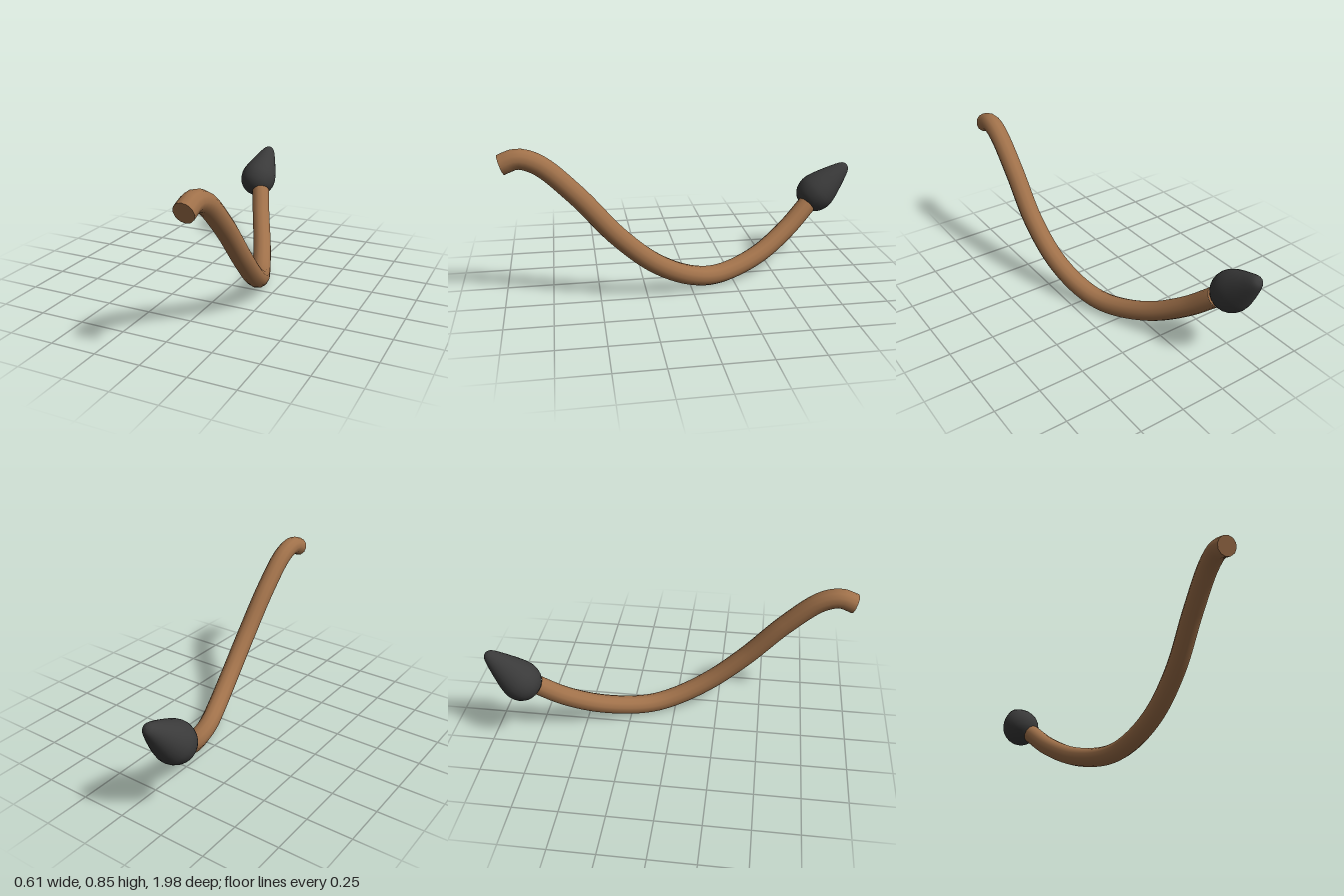
import * as THREE from 'three';

const RADIUS = 0.054;

export function createModel() {
  const model = new THREE.Group();
  model.name = 'tail';
  const brown = new THREE.MeshStandardMaterial({ color: 0xa0714a });
  const black = new THREE.MeshStandardMaterial({ color: 0x3a3a3a });

  // Curved stem, from its cut root at the front to the tuft at the back
  const path = new THREE.CatmullRomCurve3([
    [0.235, 0.77, 0.97], [0.236, 0.797, 0.89], [0.24, 0.765, 0.79],
    [0.245, 0.6, 0.61], [0.247, 0.36, 0.4], [0.222, 0.185, 0.2],
    [0.17, 0.082, 0], [0.113, 0.055, -0.16], [0.015, 0.11, -0.4],
    [-0.08, 0.225, -0.6], [-0.145, 0.345, -0.74],
  ].map((p) => new THREE.Vector3(...p)));
  const stem = new THREE.Mesh(new THREE.TubeGeometry(path, 64, RADIUS, 12), brown);
  stem.name = 'stem';
  model.add(stem);

  // Flat discs closing both ends of the stem
  for (const [name, t, sign] of [['rootCap', 0, -1], ['tipCap', 1, 1]]) {
    const cap = new THREE.Mesh(new THREE.CircleGeometry(RADIUS, 12), brown);
    cap.name = name;
    cap.position.copy(path.getPointAt(t));
    const outward = path.getTangentAt(t).multiplyScalar(sign);
    cap.quaternion.setFromUnitVectors(new THREE.Vector3(0, 0, 1), outward);
    model.add(cap);
  }

  // Teardrop tuft: round base, tapering to a blunt tip
  const profile = new THREE.SplineCurve([
    [0, -0.11], [0.055, -0.095], [0.095, -0.055], [0.11, 0], [0.103, 0.05],
    [0.085, 0.105], [0.06, 0.17], [0.037, 0.222], [0.02, 0.243], [0, 0.25],
  ].map((p) => new THREE.Vector2(...p))).getPoints(27);
  profile[0].x = profile[27].x = 0;
  const tuft = new THREE.Mesh(new THREE.LatheGeometry(profile, 24), black);
  tuft.name = 'tuft';
  tuft.position.set(-0.193, 0.4, -0.805);
  tuft.quaternion.setFromUnitVectors(
    new THREE.Vector3(0, 1, 0), new THREE.Vector3(0.03, 0.68, -0.73).normalize());
  model.add(tuft);

  return model;
}
